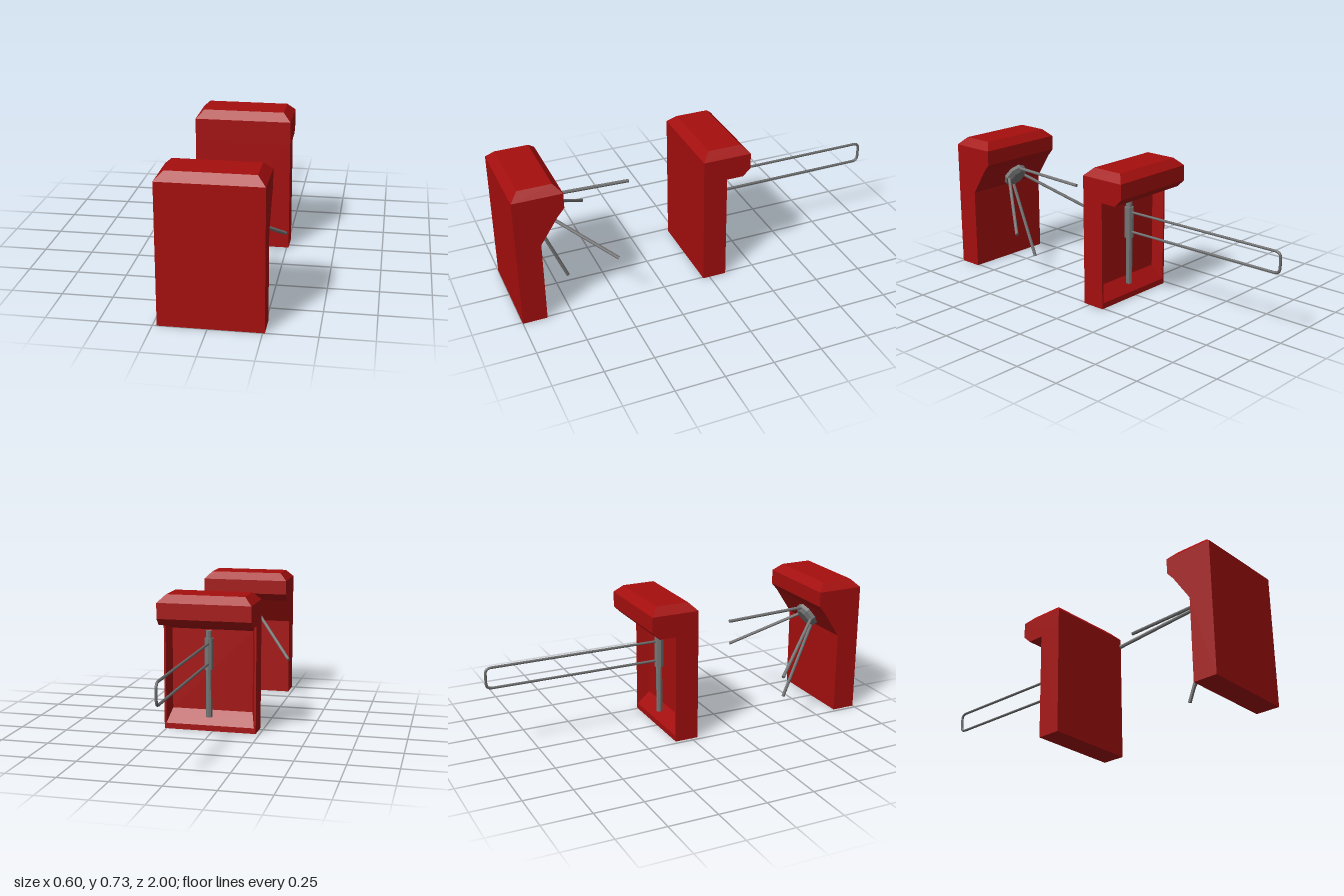
import * as THREE from 'three';

const red = new THREE.MeshStandardMaterial({ color: 0xa50e0e, flatShading: true });
const steel = new THREE.MeshStandardMaterial({ color: 0x757575, flatShading: true });
const tubeSteel = new THREE.MeshStandardMaterial({ color: 0x6c6c6c });
const X0 = -0.23, X1 = 0.26;
const V = (x, y, z) => new THREE.Vector3(x, y, z);

function add(parent, name, geometry, material) {
  const mesh = new THREE.Mesh(geometry, material);
  mesh.name = name;
  parent.add(mesh);
  return mesh;
}

// Closed solid through four-cornered rings, corners counterclockwise seen from the last ring
function loft(rings) {
  const p = [];
  const quad = (a, b, c, d) => [a, b, c, a, c, d].forEach(v => p.push(...v));
  const first = rings[0], last = rings[rings.length - 1];
  quad(first[3], first[2], first[1], first[0]);
  for (let i = 0; i < rings.length - 1; i++) {
    for (let j = 0; j < 4; j++) {
      const k = (j + 1) % 4;
      quad(rings[i][j], rings[i][k], rings[i + 1][k], rings[i + 1][j]);
    }
  }
  quad(...last);
  const g = new THREE.BufferGeometry();
  g.setAttribute('position', new THREE.Float32BufferAttribute(p, 3));
  g.computeVertexNormals();
  return g;
}
const ringY = (x0, x1, z0, z1, y) => [[x0, y, z1], [x1, y, z1], [x1, y, z0], [x0, y, z0]];
const ringBack = (x0, x1, y0, y1, z) => [[x1, y0, z], [x0, y0, z], [x0, y1, z], [x1, y1, z]];

// Side profile of [z, y] points, extruded across the cabinet width
function profile(points) {
  const shape = new THREE.Shape(points.map(([z, y]) => new THREE.Vector2(z, y)));
  const g = new THREE.ExtrudeGeometry(shape, { depth: X1 - X0, bevelEnabled: false });
  return g.rotateY(-Math.PI / 2).translate(X1, 0, 0);
}

// Lid with its four upper edges chamfered
function lid(z0, z1) {
  return loft([
    ringY(X0, X1, z0, z1, 0.687),
    ringY(X0 + 0.04, X1 - 0.04, z0 + 0.04, z1 - 0.04, 0.727),
  ]);
}

// Straight round bar between two points
function bar(a, b, r) {
  return new THREE.TubeGeometry(new THREE.LineCurve3(a, b), 1, r, 8, false);
}
function cappedBar(parent, name, a, b, r) {
  const dir = b.clone().sub(a);
  const mesh = add(parent, name, new THREE.CylinderGeometry(r, r, dir.length(), 8), steel);
  mesh.position.copy(a).add(b).multiplyScalar(0.5);
  mesh.quaternion.setFromUnitVectors(V(0, 1, 0), dir.normalize());
  return mesh;
}

function armGate() {
  const g = new THREE.Group();
  g.name = 'armGate';
  add(g, 'armCabinet', profile([
    [1, 0], [1, 0.687], [0.75, 0.687], [0.75, 0.608], [0.785, 0.567], [0.875, 0.43], [0.875, 0],
  ]), red);
  add(g, 'armCabinetLid', lid(0.75, 1), red);

  // Eight-sided hub standing square on the sloping face
  const hub = add(g, 'hub', new THREE.LatheGeometry(
    [[0, -0.02], [0.07, -0.02], [0.07, 0.018], [0.045, 0.036], [0, 0.036]]
      .map(([x, y]) => new THREE.Vector2(x, y)), 8), steel);
  hub.position.set(0, 0.495, 0.83);
  hub.quaternion.setFromUnitVectors(V(0, 1, 0), V(0, -0.533, -0.846).normalize());

  // Four arms spread around the hub
  cappedBar(g, 'upperArm', V(0, 0.536, 0.80), V(0, 0.52, 0.337), 0.009);
  cappedBar(g, 'lowerArm', V(-0.008, 0.44, 0.852), V(-0.008, 0.03, 0.684), 0.009);
  for (const s of [-1, 1]) {
    cappedBar(g, s > 0 ? 'leftArm' : 'rightArm', V(s * 0.05, 0.487, 0.82), V(s * 0.293, 0.277, 0.502), 0.009);
  }
  return g;
}

function loopGate() {
  const g = new THREE.Group();
  g.name = 'loopGate';
  // Column with a tapering recess sunk into its back
  add(g, 'recessedColumn', loft([
    ringBack(X0, X1, 0, 0.567, 0.035),
    ringBack(X0, X1, 0, 0.567, -0.09),
    ringBack(X0 + 0.01, X1 - 0.01, 0.03, 0.557, -0.09),
    ringBack(X0 + 0.03, X1 - 0.03, 0.1, 0.53, -0.03),
  ]), red);
  add(g, 'head', profile([
    [0.035, 0.567], [0.035, 0.687], [-0.217, 0.687], [-0.217, 0.605], [-0.178, 0.567],
  ]), red);
  add(g, 'headLid', lid(-0.217, 0.035), red);

  // Pivot post and sleeve
  cappedBar(g, 'pivotPost', V(0.025, 0.07, -0.064), V(0.025, 0.53, -0.064), 0.017);
  cappedBar(g, 'pivotSleeve', V(0.025, 0.325, -0.064), V(0.025, 0.49, -0.064), 0.025);

  // Long swing loop with rounded outer corners
  const x = 0.025, lo = 0.357, hi = 0.463, end = -0.993, r = 0.03;
  const path = new THREE.CurvePath();
  path.add(new THREE.LineCurve3(V(x, hi, -0.064), V(x, hi, end + r)));
  path.add(new THREE.QuadraticBezierCurve3(V(x, hi, end + r), V(x, hi, end), V(x, hi - r, end)));
  path.add(new THREE.LineCurve3(V(x, hi - r, end), V(x, lo + r, end)));
  path.add(new THREE.QuadraticBezierCurve3(V(x, lo + r, end), V(x, lo, end), V(x, lo, end + r)));
  path.add(new THREE.LineCurve3(V(x, lo, end + r), V(x, lo, -0.064)));
  add(g, 'swingLoop', new THREE.TubeGeometry(path, 200, 0.007, 8, false), tubeSteel);
  return g;
}

export function createModel() {
  const model = new THREE.Group();
  model.name = 'turnstilePair';
  model.add(armGate(), loopGate());
  return model;
}
